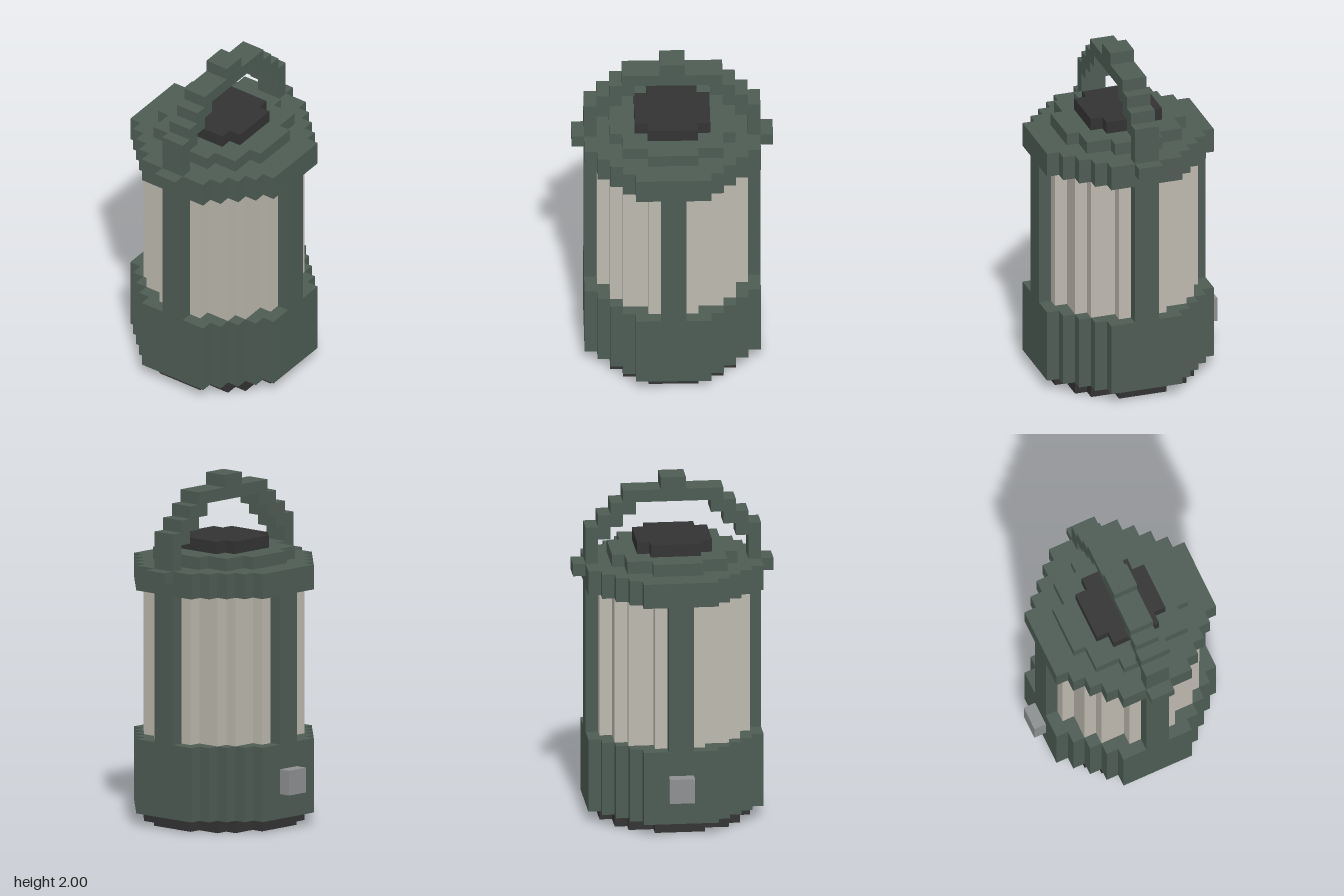
import * as THREE from 'three';

const mat = (name, color) => {
  const m = new THREE.MeshStandardMaterial({ color });
  m.name = name;
  return m;
};

// Stepped disc outline: whole cells whose centres lie inside the radius
function discShape(r) {
  const right = [];
  for (let row = -r; row < r; row++) {
    const z = row + 0.5;
    const half = Math.floor(Math.sqrt(r * r - z * z) + 0.5);
    right.push([half, row], [half, row + 1]);
  }
  const left = right.map(([x, z]) => [-x, z]).reverse();
  // Drop repeated and collinear points
  const all = [...right, ...left];
  const pts = all.filter(([x, z], i) => {
    const [px, pz] = all[(i + all.length - 1) % all.length];
    const [nx, nz] = all[(i + 1) % all.length];
    return (x - px) * (nz - z) !== (z - pz) * (nx - x);
  });
  return new THREE.Shape(pts.map(([x, z]) => new THREE.Vector2(x, z)));
}

export function createModel() {
  const green = mat('lantern green', 0x4d5c54);
  const black = mat('rubber black', 0x343333);
  const glass = mat('frosted glass', 0xbdb9af);
  const steel = mat('switch grey', 0x8d9091);

  // Everything is laid out in cells, 28 cells tall
  const model = new THREE.Group();
  model.name = 'lantern';
  model.scale.setScalar(1 / 14);
  const body = new THREE.Group();
  body.name = 'body';
  body.position.z = 0.5;
  model.add(body);

  const add = (name, geometry, material) => {
    const mesh = new THREE.Mesh(geometry, material);
    mesh.name = name;
    body.add(mesh);
    return mesh;
  };
  const extrude = (shape, depth) =>
    new THREE.ExtrudeGeometry(shape, { depth, bevelEnabled: false });
  const box = (name, size, pos, material) =>
    add(name, new THREE.BoxGeometry(...size), material).position.set(...pos);

  // Stacked discs: name, radius, bottom, top
  const discs = [
    ['foot', 6, 0, 1, black],
    ['base', 7, 1, 7, green],
    ['glass', 6, 7, 19, glass],
    ['topRing', 7, 19, 21, green],
    ['lid', 5, 21, 22, green],
    ['lidCap', 3, 22, 23, black],
  ];
  for (const [name, r, y0, y1, material] of discs) {
    const geometry = extrude(discShape(r), y1 - y0).rotateX(-Math.PI / 2);
    add(name, geometry, material).position.y = y0;
  }

  // Four posts around the glass
  for (const s of [-1, 1]) {
    box(s > 0 ? 'frontPost' : 'backPost', [2, 12, 1], [0, 13, 6.5 * s], green);
    box(s > 0 ? 'leftPost' : 'rightPost', [1, 12, 2], [6.5 * s, 13, 0], green);
    box(s > 0 ? 'leftPivot' : 'rightPivot', [1, 1, 2], [7.5 * s, 20.5, 0], green);
  }

  // Stepped carrying handle, one half outline mirrored
  const outer = [[7, 21], [7, 24], [6, 24], [6, 25], [5, 25], [5, 26], [4, 26], [4, 27], [1, 27], [1, 28]];
  const inner = [[3, 26], [3, 25], [4, 25], [4, 24], [5, 24], [5, 23], [6, 23], [6, 21]];
  const flip = (pts) => pts.map(([x, y]) => [-x, y]).reverse();
  const outline = [...outer, ...flip(outer), ...flip(inner), ...inner];
  const handle = new THREE.Shape(outline.map(([x, y]) => new THREE.Vector2(x, y)));
  add('handle', extrude(handle, 2).translate(0, 0, -1), green);

  // Switch on the back
  box('switch', [2, 2, 1], [0, 4, -7.5], steel);

  return model;
}
